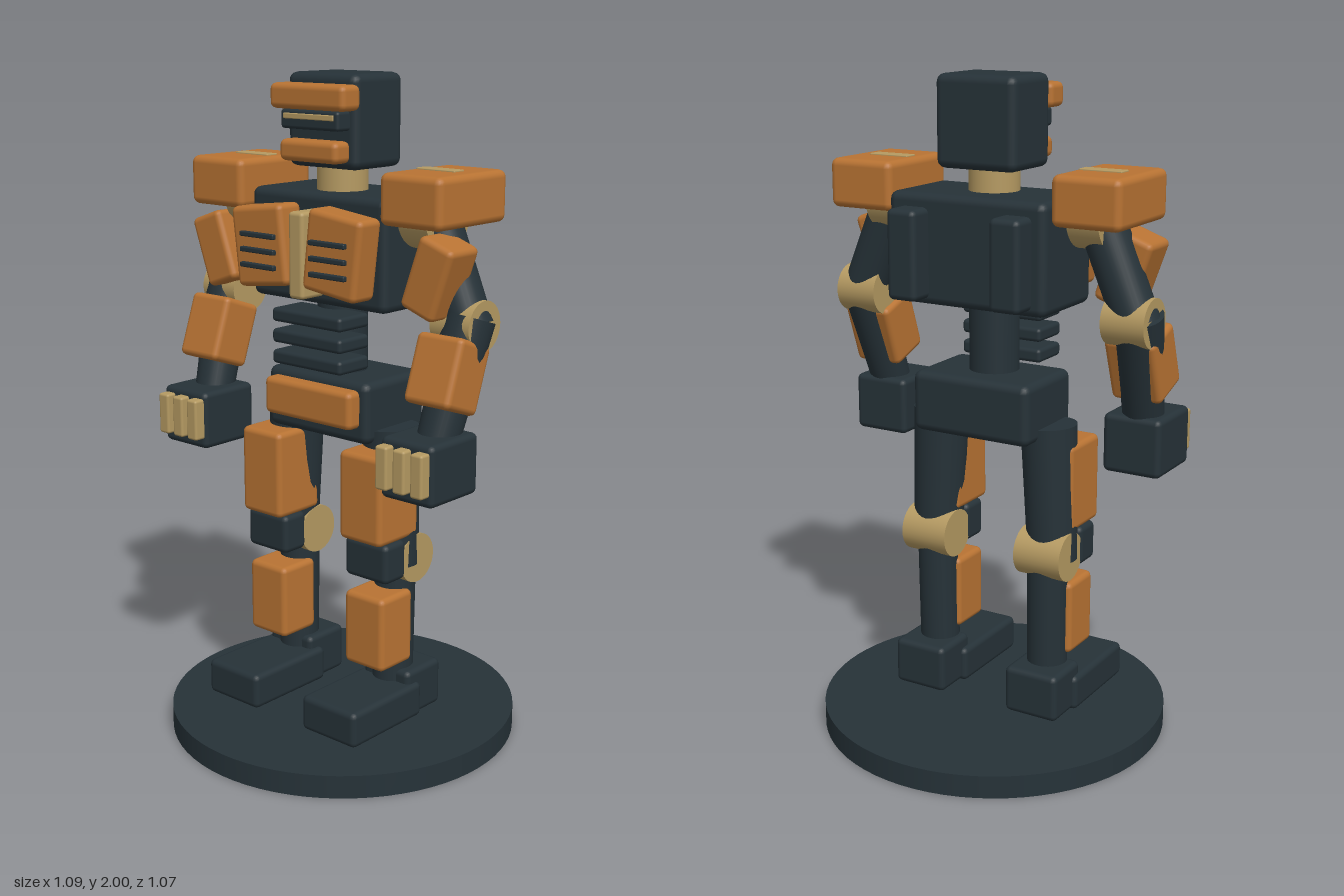
import * as THREE from 'three';
import { RoundedBoxGeometry } from 'three/addons/geometries/RoundedBoxGeometry.js';

const mat = (name, color) => {
  const m = new THREE.MeshStandardMaterial({ color });
  m.name = name;
  return m;
};

export function createModel() {
  const root = new THREE.Group();
  root.name = 'robotFigure';
  const steel = mat('darkSteel', 0x263238);
  const copper = mat('copper', 0xb87333);
  const brass = mat('brass', 0xb59a62);

  const add = (parent, name, geometry, material, p = [0, 0, 0], r = [0, 0, 0]) => {
    const m = new THREE.Mesh(geometry, material);
    m.name = name;
    m.position.set(...p);
    m.rotation.set(...r);
    parent.add(m);
    return m;
  };
  // Rounded box from its centre and size
  const box = (parent, name, material, p, s, r, radius = 0.018) =>
    add(parent, name, new RoundedBoxGeometry(...s, 2, Math.min(radius, Math.min(...s) * 0.45)), material, p, r);
  // Tapered round limb from a (top) to b (bottom)
  const limb = (parent, name, material, a, b, ra, rb) => {
    const A = new THREE.Vector3(...a), B = new THREE.Vector3(...b);
    const dir = A.clone().sub(B);
    const m = add(parent, name, new THREE.CylinderGeometry(ra, rb, dir.length(), 32), material);
    m.position.copy(A).add(B).multiplyScalar(0.5);
    m.quaternion.setFromUnitVectors(new THREE.Vector3(0, 1, 0), dir.normalize());
    return m;
  };

  // Display base
  add(root, 'base', new THREE.CylinderGeometry(0.535, 0.535, 0.07, 72), steel, [0, 0.035, 0]);

  // Head
  const head = new THREE.Group();
  head.name = 'head';
  root.add(head);
  box(head, 'skull', steel, [0, 1.867, -0.01], [0.265, 0.267, 0.21], undefined, 0.025);
  box(head, 'brow', copper, [0, 1.936, 0.12], [0.284, 0.072, 0.08]);
  box(head, 'visor', steel, [0, 1.872, 0.11], [0.22, 0.055, 0.07], undefined, 0.01);
  box(head, 'eyeStrip', brass, [0, 1.881, 0.146], [0.19, 0.016, 0.008], undefined, 0.003);
  box(head, 'chinGuard', copper, [0, 1.785, 0.12], [0.22, 0.062, 0.07]);
  limb(root, 'neck', brass, [0, 1.76, 0], [0, 1.6, 0], 0.075, 0.075);

  // Torso
  box(root, 'torso', steel, [0, 1.505, -0.025], [0.52, 0.325, 0.285], undefined, 0.025);
  box(root, 'sternum', brass, [0, 1.495, 0.155], [0.056, 0.25, 0.1], undefined, 0.012);
  limb(root, 'spine', steel, [0, 1.4, 0], [0, 1.08, 0], 0.075, 0.075);
  for (let i = 0; i < 3; i++)
    box(root, 'abdomenSlat', steel, [0, 1.304 - i * 0.063, 0.1], [0.27, 0.042, 0.13], undefined, 0.012);
  box(root, 'pelvis', steel, [0, 1.042, -0.015], [0.395, 0.185, 0.27], undefined, 0.025);
  box(root, 'beltPlate', copper, [0, 1.055, 0.125], [0.34, 0.113, 0.08]);

  for (const s of [-1, 1]) {
    const side = new THREE.Group();
    side.name = s > 0 ? 'leftSide' : 'rightSide';
    root.add(side);
    const rx = [0, 0, Math.PI / 2];

    // Chest plate with vents, and back pack
    box(side, 'chestPlate', copper, [s * 0.14, 1.51, 0.165], [0.2, 0.235, 0.095], [0, 0, -s * 0.12]);
    for (let i = 0; i < 3; i++)
      box(side, 'chestVent', steel, [s * 0.135, 1.543 - i * 0.045, 0.216], [0.135, 0.015, 0.02], undefined, 0.004);
    box(side, 'backPack', steel, [s * 0.17, 1.495, -0.19], [0.098, 0.265, 0.105]);

    // Shoulder
    box(side, 'shoulderPad', copper, [s * 0.372, 1.673, 0.002], [0.216, 0.146, 0.306], undefined, 0.022);
    box(side, 'shoulderStrip', brass, [s * 0.354, 1.746, -0.003], [0.134, 0.009, 0.045], undefined, 0.003);
    add(side, 'shoulderJoint', new THREE.CylinderGeometry(0.1, 0.1, 0.1, 32), brass, [s * 0.338, 1.625, 0], rx);

    // Arm
    limb(side, 'upperArm', steel, [s * 0.352, 1.6, 0], [s * 0.47, 1.32, 0], 0.068, 0.068);
    box(side, 'upperArmPlate', copper, [s * 0.413, 1.465, 0.068], [0.122, 0.216, 0.13], [0, 0, -s * 0.34]);
    add(side, 'elbowJoint', new THREE.CylinderGeometry(0.073, 0.073, 0.135, 32), brass, [s * 0.453, 1.33, 0], rx);
    limb(side, 'forearm', steel, [s * 0.47, 1.35, 0], [s * 0.445, 1.0, 0.11], 0.073, 0.06);
    box(side, 'forearmPlate', copper, [s * 0.451, 1.2, 0.075], [0.16, 0.2, 0.145], [-0.34, 0, 0]);

    // Hand
    box(side, 'hand', steel, [s * 0.441, 0.95, 0.135], [0.185, 0.178, 0.21]);
    for (let i = 0; i < 3; i++)
      box(side, 'finger', brass, [s * (0.378 + i * 0.062), 0.957, 0.245], [0.042, 0.126, 0.055], undefined, 0.008);

    // Leg
    limb(side, 'thigh', steel, [s * 0.188, 0.99, 0], [s * 0.205, 0.57, 0], 0.085, 0.076);
    box(side, 'thighPlate', copper, [s * 0.199, 0.8, 0.065], [0.16, 0.27, 0.18]);
    box(side, 'kneeGuard', steel, [s * 0.201, 0.605, 0.082], [0.163, 0.122, 0.095]);
    add(side, 'kneeJoint', new THREE.CylinderGeometry(0.075, 0.075, 0.155, 32), brass, [s * 0.2, 0.592, -0.022], rx);
    limb(side, 'shin', steel, [s * 0.197, 0.6, -0.018], [s * 0.195, 0.19, -0.01], 0.062, 0.062);
    box(side, 'shinPlate', copper, [s * 0.198, 0.382, 0.062], [0.15, 0.23, 0.145]);

    // Foot
    box(side, 'foot', steel, [s * 0.198, 0.145, 0.135], [0.21, 0.11, 0.315]);
    box(side, 'heel', steel, [s * 0.2, 0.165, -0.05], [0.178, 0.147, 0.16]);
  }
  return root;
}
